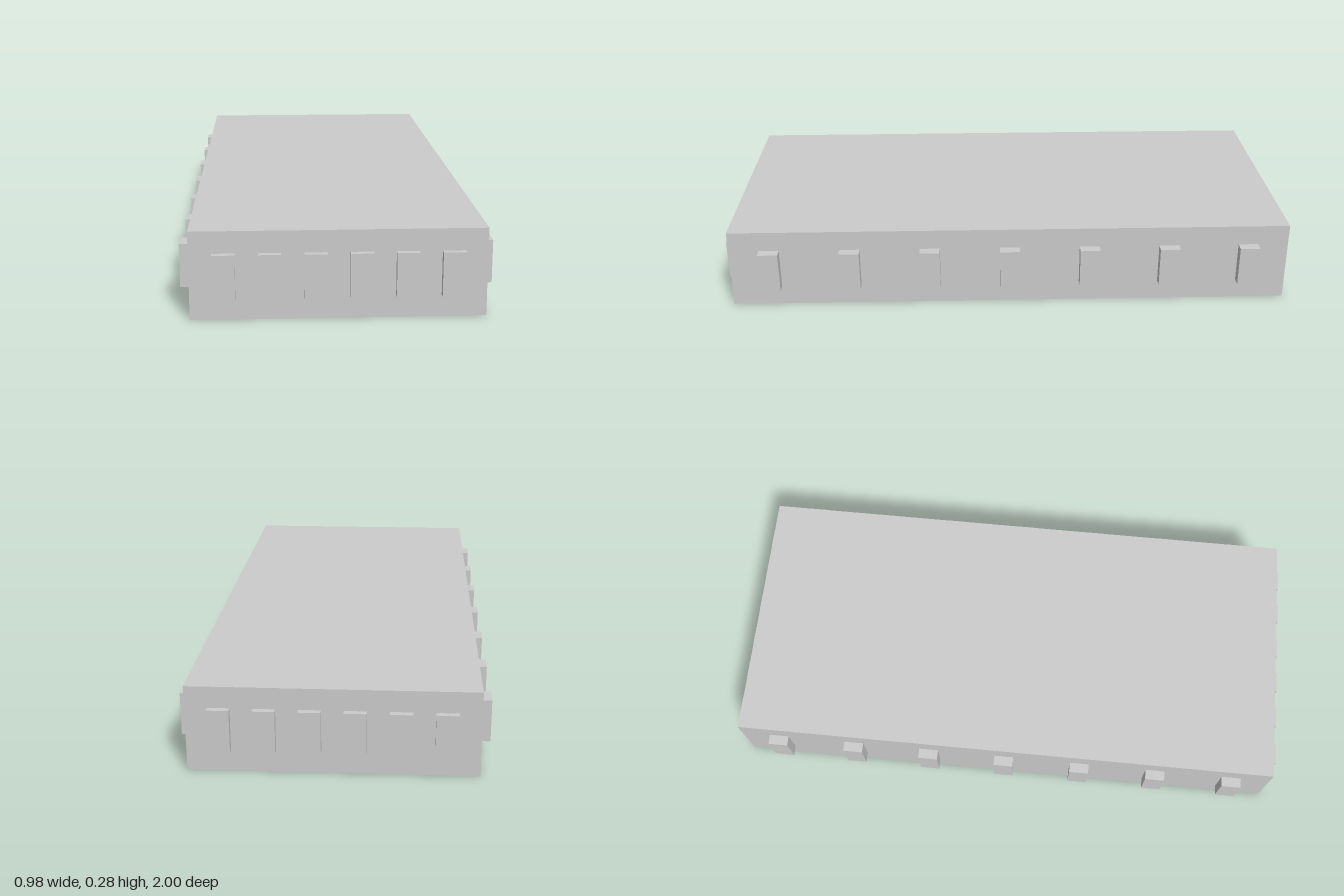
import * as THREE from 'three';

const U = 1 / 14.3; // base module: every size is a multiple of it

export function createModel() {
  const model = new THREE.Group();
  const material = new THREE.MeshStandardMaterial({ color: 0xcccccc, flatShading: true });

  // Box with size and centre given in modules
  function addBox(name, size, centre) {
    const mesh = new THREE.Mesh(new THREE.BoxGeometry(...size.map((s) => s * U)), material);
    mesh.position.set(...centre).multiplyScalar(U);
    mesh.name = name;
    model.add(mesh);
  }

  // Main slab
  addBox('body', [13, 4, 28], [0, 2, 0]);

  for (const side of [-1, 1]) {
    // Seven raised blocks along each long side
    for (let i = -3; i <= 3; i++) {
      addBox(side > 0 ? 'leftBlock' : 'rightBlock', [0.5, 2, 1], [side * 6.75, 2, i * 4]);
    }
    // Six thinner panels across each end
    for (let i = 0; i < 6; i++) {
      addBox(side > 0 ? 'frontPanel' : 'backPanel', [1, 2, 0.3], [i * 2 - 5, 2, side * 14.15]);
    }
  }
  return model;
}
